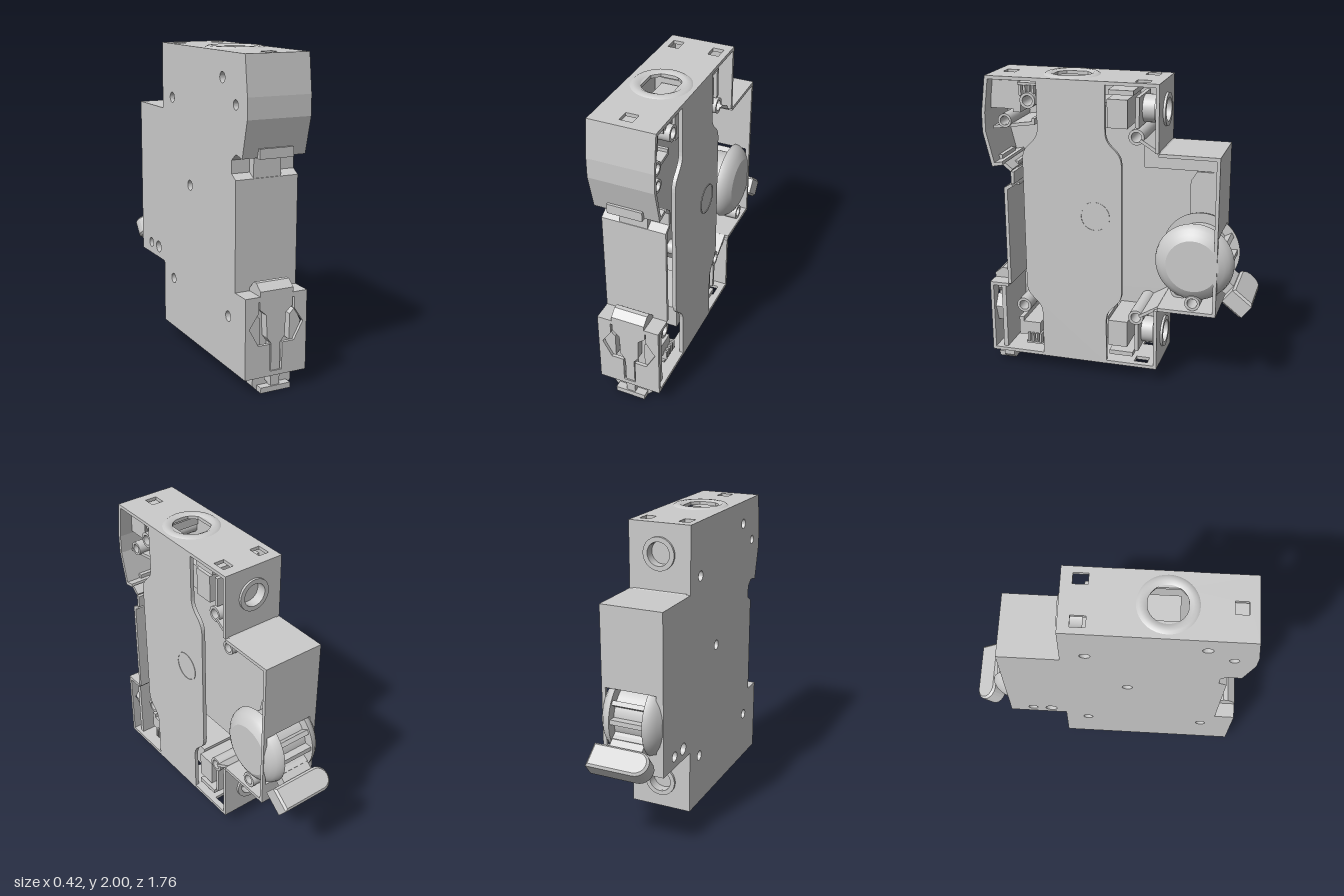
import * as THREE from 'three';

const MAT = new THREE.MeshStandardMaterial({ color: 0xcccccc, side: THREE.DoubleSide });
const L = -0.207, R = 0.205; // closed side and open side of the case
const V = (x, y, z) => new THREE.Vector3(x, y, z);
const pts = (a) => a.map(([x, y]) => new THREE.Vector2(x, y));
const circle = (x, y, r, n = 24) => Array.from({ length: n }, (_, i) =>
  [x + r * Math.cos(i / n * Math.PI * 2), y + r * Math.sin(i / n * Math.PI * 2)]);
const rect = (x, y, hw, hh) => [[x - hw, y - hh], [x + hw, y - hh], [x + hw, y + hh], [x - hw, y + hh]];
const octagon = (x, y, a, b, c = 0.045) => [[x - a, y - b + c], [x - a + c, y - b], [x + a - c, y - b], [x + a, y - b + c],
  [x + a, y + b - c], [x + a - c, y + b], [x - a + c, y + b], [x - a, y + b - c]];

function extrude(outline, holes, depth, opt = {}) {
  const s = new THREE.Shape(pts(outline));
  for (const h of holes) s.holes.push(new THREE.Path(pts(h)));
  return new THREE.ExtrudeGeometry(s, { depth, bevelEnabled: false, ...opt });
}

export function createModel() {
  const model = new THREE.Group();
  const add = (name, geo, x = 0, y = 0, z = 0, parent = model) => {
    const m = new THREE.Mesh(geo, MAT);
    m.name = name;
    m.position.set(x, y, z);
    parent.add(m);
    return m;
  };
  // box given by its min and max on each axis
  const box = (name, x0, x1, y0, y1, z0, z1) =>
    add(name, new THREE.BoxGeometry(x1 - x0, y1 - y0, z1 - z0), (x0 + x1) / 2, (y0 + y1) / 2, (z0 + z1) / 2);
  // side-on outline in [z, y], spanning x0..x1
  const slab = (name, zy, x0, x1, holes = []) => {
    const flip = (a) => a.map(([z, y]) => [-z, y]);
    const m = add(name, extrude(flip(zy), holes.map(flip), x1 - x0), x0);
    m.rotation.y = Math.PI / 2;
    return m;
  };
  const tube = (name, ro, ri, len, axis, x, y, z) => {
    const h = len / 2;
    const corners = [[ri, -h], [ro, -h], [ro, h], [ri, h], [ri, -h]];
    const g = new THREE.Group();
    g.name = name;
    for (let i = 0; i < 4; i++)
      add(name, new THREE.LatheGeometry(pts([corners[i], corners[i + 1]]), 28), 0, 0, 0, g);
    if (axis === 'x') g.rotation.z = Math.PI / 2;
    if (axis === 'z') g.rotation.x = Math.PI / 2;
    g.position.set(x, y, z);
    model.add(g);
  };

  // Case outline [z, y]: top, stepped back, bottom, foot, rail slot, upper nose
  const profile = [[0.85, 1.99], [-0.27, 1.99], [-0.27, 1.565], [-0.65, 1.565], [-0.65, 0.52], [-0.27, 0.52],
    [-0.27, 0.1], [0.88, 0.1], [0.88, 0.6], [0.75, 0.6], [0.75, 1.27], [0.7, 1.3], [0.7, 1.38],
    [0.75, 1.42], [0.825, 1.405], [0.88, 1.63], [0.88, 1.755]];
  const notches = (s) => [rect(-0.13, s, 0.035, 0.045), rect(0.13, s, 0.035, 0.045)];
  const wallHoles = {
    0: [octagon(0, 0.51, 0.1, 0.115), rect(0, 0.1, 0.04, 0.04), ...notches(1.005)],
    1: [circle(0, 0.19, 0.085)],
    3: [rect(0.01, 0.71, 0.17, 0.19)],
    5: [circle(0, 0.22, 0.085)],
    6: [octagon(0, 0.61, 0.1, 0.115), ...notches(0.115)],
    7: [[[-0.04, 0.03], [-0.04, 0.2], [-0.12, 0.2], [-0.18, 0.31], [-0.12, 0.4], [-0.12, 0.47],
      [0.12, 0.47], [0.12, 0.4], [0.18, 0.31], [0.12, 0.2], [0.04, 0.2], [0.04, 0.03]]],
  };
  const T = 0.022;
  profile.forEach(([z, y], i) => {
    const [z2, y2] = profile[(i + 1) % profile.length];
    const t = V(0, y2 - y, z2 - z), len = t.length();
    t.normalize();
    const n = V(1, 0, 0).cross(t);
    const m = add('caseWall', extrude([[L, 0], [R, 0], [R, len], [L, len]], wallHoles[i] || [], T));
    m.applyMatrix4(new THREE.Matrix4().makeBasis(V(1, 0, 0), t, n));
    m.position.set(0, y - n.y * T, z - n.z * T);
  });

  // Closed side with rivet holes, and the hollow posts behind them: z, y, radius, end x
  const posts = [[-0.12, 1.65, 0.05, 0.17], [-0.12, 0.44, 0.05, 0.17], [0.58, 1.84, 0.05, 0.18], [0.745, 1.7, 0.045, 0.16],
    [0.665, 0.43, 0.05, 0.15], [0.14, 1.125, 0.05, -0.13], [-0.37, 0.595, 0.06, 0], [-0.495, 0.595, 0.05, 0.19]];
  slab('sideWall', profile, L, L + 0.03, posts.map(([z, y, r]) => circle(z, y, r * 0.65)));
  for (const [z, y, r, x1] of posts) tube('rivetPost', r, r * 0.65, x1 - L, 'x', (x1 + L) / 2, y, z);

  // Waisted cover on the open side
  const cover = new THREE.Shape();
  cover.moveTo(-0.51, 0.1);
  cover.lineTo(-0.51, 0.41);
  cover.bezierCurveTo(-0.51, 0.52, -0.615, 0.51, -0.615, 0.62);
  cover.lineTo(-0.615, 1.47);
  cover.bezierCurveTo(-0.615, 1.58, -0.51, 1.57, -0.51, 1.68);
  cover.lineTo(-0.51, 1.99);
  cover.lineTo(-0.07, 1.99);
  cover.lineTo(-0.07, 1.68);
  cover.bezierCurveTo(-0.07, 1.57, 0.035, 1.58, 0.035, 1.47);
  cover.lineTo(0.035, 0.62);
  cover.bezierCurveTo(0.035, 0.51, -0.07, 0.52, -0.07, 0.41);
  cover.lineTo(-0.07, 0.1);
  const coverGeo = new THREE.ExtrudeGeometry(cover, { depth: 0.025, bevelEnabled: false });
  add('sideCover', coverGeo, 0.181).rotation.y = Math.PI / 2;
  tube('coverRivetRing', 0.098, 0.09, 0.006, 'x', 0.206, 1.125, 0.14);

  // Raised collars round the top and bottom openings
  for (const s of [1, -1]) {
    const collar = add('openingCollar', new THREE.LatheGeometry(
      pts([[0.18, 0], [0.165, 0.01], [0.14, 0.012], [0.118, 0]]), 40), 0, s > 0 ? 1.99 : 0.1, 0.34);
    collar.scale.y = s;
  }

  // Terminals, mirrored about mid height
  for (const s of [1, -1]) {
    const Y = (d) => 1.045 + s * d;
    const bx = (name, x0, x1, a, b, z0, z1) => box(name, x0, x1, Math.min(Y(a), Y(b)), Math.max(Y(a), Y(b)), z0, z1);
    tube('screwSleeve', 0.105, 0.075, 0.07, 'z', 0, Y(0.755), -0.25);
    tube('screwCollar', 0.088, 0.05, 0.1, 'z', 0, Y(0.755), -0.17);
    const head = add('screwHead', new THREE.CylinderGeometry(0.07, 0.07, 0.05, 24), 0, Y(0.755), -0.2);
    head.rotation.x = Math.PI / 2;
    bx('screwFlange', -0.13, 0.16, 0.66, 0.85, -0.135, -0.11);
    bx('terminalBlock', -0.17, 0.16, 0.65, 0.83, -0.06, 0.07);
    bx('terminalCage', -0.12, 0.12, 0.64, 0.8, 0.08, 0.42);
    bx('terminalLedge', -0.18, 0.17, 0.86, 0.89, -0.1, 0.06);
    for (let i = 0; i < 5; i++) {
      const z = 0.52 + i * 0.028;
      bx('ventRib', -0.18, 0.15, 0.82, 0.885, z, z + 0.014);
    }
    bx('ventShelf', -0.18, 0.14, 0.885, 0.9, 0.5, 0.66);
    const web = add('cornerWeb', new THREE.BoxGeometry(0.36, 0.02, 0.15), 0, Y(0.55), -0.21);
    web.rotation.x = -s * 0.55;
  }

  // Inner ledges and blocks on the closed side
  slab('innerLedge', [[-0.09, 1.55], [-0.64, 1.55], [-0.64, 0.95], [-0.4, 0.95], [-0.4, 1.3], [-0.44, 1.365],
    [-0.55, 1.365], [-0.55, 1.37], [-0.09, 1.37]], L + 0.02, L + 0.05);
  slab('noseBlock', [[0.84, 1.95], [0.65, 1.95], [0.65, 1.75], [0.7, 1.75], [0.7, 1.77], [0.85, 1.77]], L + 0.02, 0.12);
  slab('noseRib', [[0.83, 1.64], [0.55, 1.68], [0.55, 1.72], [0.57, 1.72], [0.57, 1.7], [0.83, 1.66]], L + 0.02, 0.14);
  slab('footRib', [[0.71, 0.2], [0.71, 0.33], [0.68, 0.33], [0.68, 0.3], [0.56, 0.3], [0.56, 0.22]], L + 0.02, 0.13);

  // Rail hook lip and rail slot centre
  box('hookLip', -0.11, 0.11, 1.4, 1.46, 0.79, 0.855);
  box('slotWeb', -0.09, 0.09, 1.26, 1.42, 0.69, 0.748);

  // Sliding rail clip in the foot
  box('clipStem', -0.03, 0.03, 0.03, 0.4, 0.8, 0.872);
  add('clipHead', extrude([[-0.03, 0.3], [0.03, 0.3], [0.06, 0.34], [0.065, 0.48], [0.11, 0.52], [0.11, 0.6],
    [-0.11, 0.6], [-0.11, 0.52], [-0.065, 0.48], [-0.06, 0.34]], [], 0.06), 0, 0, 0.815);
  slab('clipNose', [[0.75, 0.59], [0.88, 0.59], [0.88, 0.63], [0.83, 0.67], [0.8, 0.67], [0.75, 0.62]], -0.11, 0.11);
  box('clipBack', -0.18, 0.18, 0.12, 0.58, 0.78, 0.81);
  for (const s of [1, -1])
    add('clipWing', extrude([[s * 0.1, 0.3], [s * 0.14, 0.3], [s * 0.175, 0.41], [s * 0.13, 0.49], [s * 0.1, 0.46]], [], 0.05), 0, 0, 0.81);
  const pull = [[-0.13, 0.1], [-0.13, 0.03], [-0.1, 0], [0.1, 0], [0.13, 0.03], [0.13, 0.1], [0.05, 0.1],
    [0.045, 0.06], [0.025, 0.035], [-0.025, 0.035], [-0.045, 0.06], [-0.05, 0.1]];
  add('clipPull', extrude(pull, [], 0.07), 0, 0, 0.76);
  box('clipPullLip', -0.1, 0.1, 0, 0.034, 0.82, 0.88);

  // Switch drum: two domed cheeks with a ribbed channel between
  const drum = new THREE.Group();
  drum.name = 'switchDrum';
  drum.position.set(0, 0.85, -0.49);
  model.add(drum);
  for (const s of [1, -1]) {
    const dome = [[0.256, 0.11], [0.25, 0.135], [0.232, 0.16], [0.205, 0.182], [0.17, 0.2]];
    for (const p of [[[0, 0.11], [0.256, 0.11]], dome, [[0.17, 0.2], [0, 0.2]]])
      add('drumCheek', new THREE.LatheGeometry(pts(p), 48), 0, 0, 0, drum).rotation.z = -s * Math.PI / 2;
  }
  add('drumCore', new THREE.CylinderGeometry(0.19, 0.19, 0.22, 40), 0, 0, 0, drum).rotation.z = Math.PI / 2;
  for (const a of [-0.5, 0.05, 0.55]) {
    const rib = add('drumRib', new THREE.BoxGeometry(0.22, 0.03, 0.06), 0, Math.sin(a) * 0.21, -Math.cos(a) * 0.21, drum);
    rib.rotation.x = a;
  }

  // Lever with a bar handle, rounded at one end
  const lever = new THREE.Group();
  lever.name = 'lever';
  const d = V(0, -0.62, -0.78).normalize();
  lever.applyMatrix4(new THREE.Matrix4().makeBasis(V(1, 0, 0), d, V(1, 0, 0).cross(d)));
  lever.position.set(0, 0.631, -0.783);
  model.add(lever);
  const bar = [[0.19, -0.066], [0.19, 0.066]];
  for (let i = 0; i <= 12; i++) {
    const a = Math.PI / 2 + i / 12 * Math.PI;
    bar.push([-0.11 + 0.066 * Math.cos(a), 0.066 * Math.sin(a)]);
  }
  add('handleBar', extrude(bar, [], 0.1, { bevelEnabled: true, bevelSize: 0.014, bevelThickness: 0.014, bevelSegments: 1 }), 0, 0, -0.05, lever);
  add('leverNeck', new THREE.BoxGeometry(0.22, 0.17, 0.08), 0, -0.12, 0, lever);
  return model;
}
